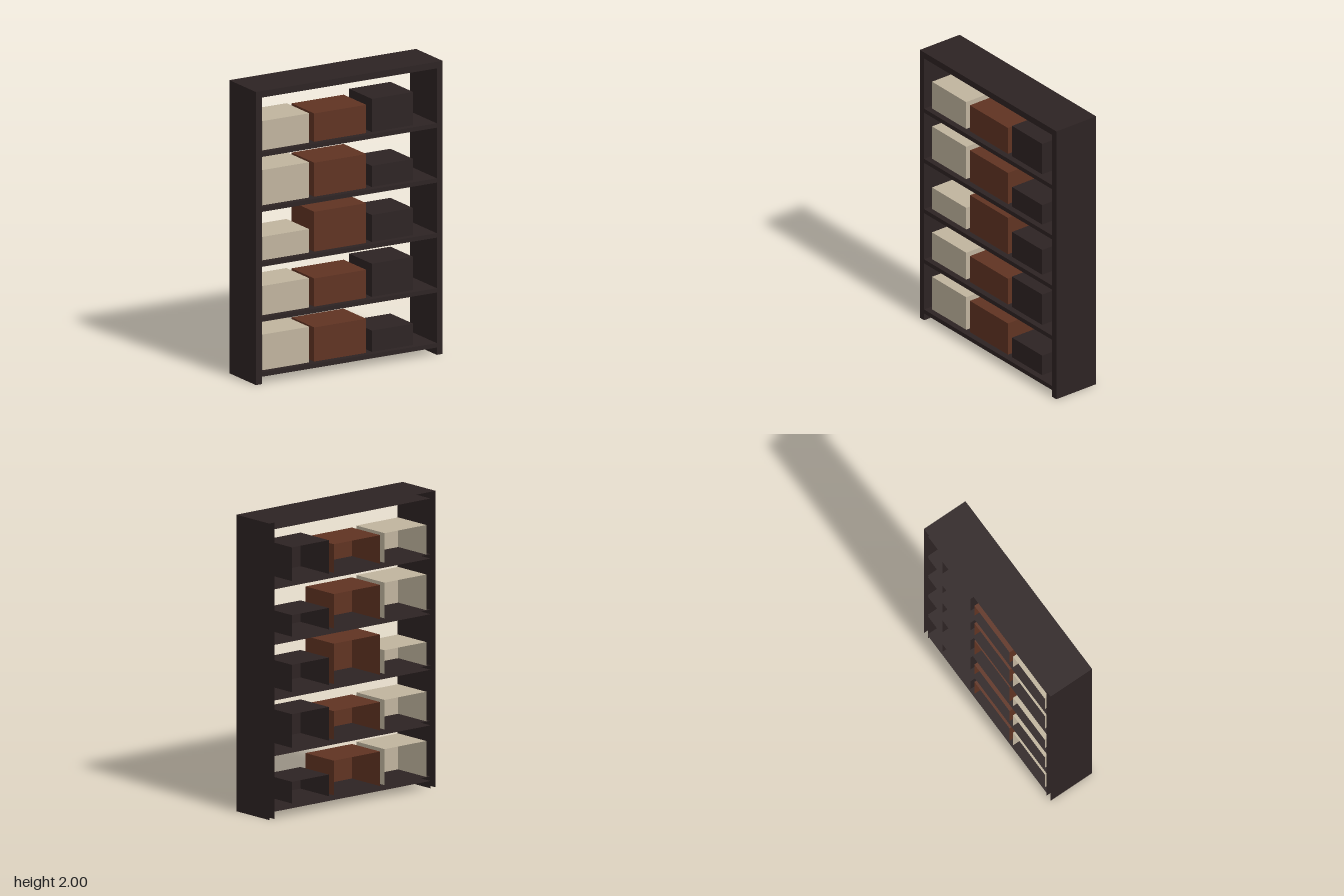
import * as THREE from 'three';

const material = (name, color) => {
  const m = new THREE.MeshStandardMaterial({ color, side: THREE.DoubleSide });
  m.name = name;
  return m;
};

// Box between two corners, without the listed faces (0..5 = +x -x +y -y +z -z)
function openBox(name, mat, [x0, y0, z0], [x1, y1, z1], missing) {
  const geo = new THREE.BoxGeometry(x1 - x0, y1 - y0, z1 - z0);
  const all = Array.from(geo.index.array);
  geo.setIndex(all.filter((_, i) => !missing.includes(Math.floor(i / 6))));
  geo.clearGroups();
  const mesh = new THREE.Mesh(geo, mat);
  mesh.name = name;
  mesh.position.set((x0 + x1) / 2, (y0 + y1) / 2, (z0 + z1) / 2);
  return mesh;
}

export function createModel() {
  const model = new THREE.Group();
  model.name = 'bookcase';
  const darkWood = material('dark wood', 0x2d2323);
  const rust = material('rust brown', 0x603322);
  const beige = material('beige', 0xc0b49e);

  const W = 0.718, inner = 0.673, D = 0.167;
  const BOTTOM = 3, BACK = 5;

  // Side panels and top board, hollow from behind
  model.add(openBox('leftSide', darkWood, [inner, 0, -D], [W, 2, D], [BOTTOM, BACK]));
  model.add(openBox('rightSide', darkWood, [-W, 0, -D], [-inner, 2, D], [BOTTOM, BACK]));
  model.add(openBox('topBoard', darkWood, [-inner, 1.955, -D], [inner, 2, D], [0, 1, BACK]));

  // Storage boxes: x range and colour per column, top height per shelf
  const columns = [
    { name: 'beigeBox', mat: beige, x: [-0.643, -0.283], tops: [0.323, 0.655, 0.99, 1.446, 1.78] },
    { name: 'rustBox', mat: rust, x: [-0.244, 0.156], tops: [0.313, 0.647, 1.102, 1.437, 1.773] },
    { name: 'darkBox', mat: darkWood, x: [0.199, 0.517], tops: [0.226, 0.682, 1.015, 1.35, 1.807] },
  ];

  // Five evenly spaced shelves, each carrying three boxes open at the back
  for (let i = 0; i < 5; i++) {
    const y = 0.08 + i * 0.375;
    const shelf = new THREE.Group();
    shelf.name = `shelfRow${i + 1}`;
    shelf.add(openBox('shelf', darkWood, [-inner, y - 0.03, -D], [inner, y, D], [0, 1, BACK]));
    for (const c of columns) {
      shelf.add(openBox(c.name, c.mat, [c.x[0], y, -0.16], [c.x[1], c.tops[i], 0.125], [BOTTOM, BACK]));
    }
    model.add(shelf);
  }
  return model;
}
